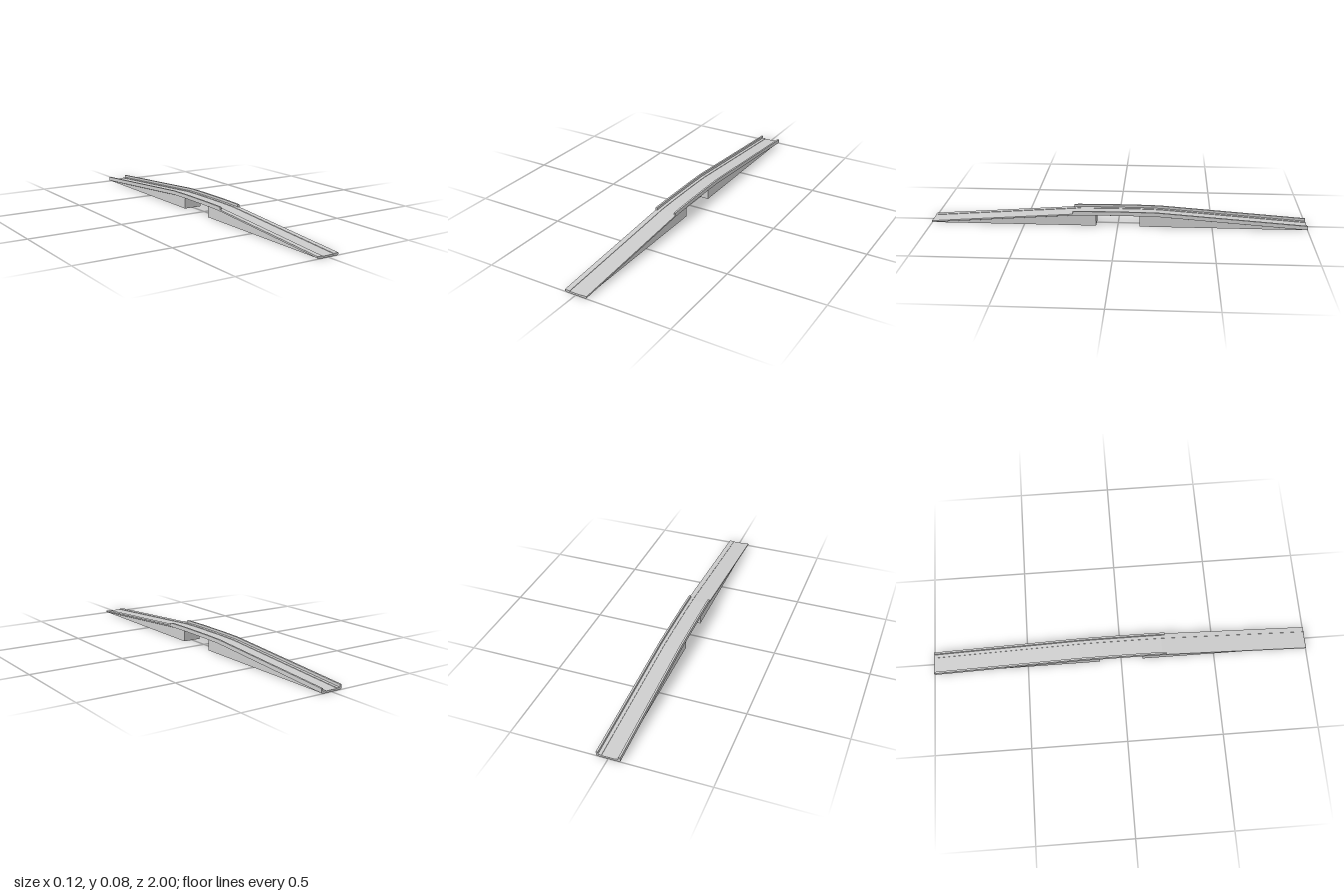
import * as THREE from 'three';

const material = new THREE.MeshStandardMaterial({ color: 0xcccccc, flatShading: true });
const thin = new THREE.MeshStandardMaterial({ color: 0xcccccc, flatShading: true, side: THREE.DoubleSide });

// Height of the deck's underside along the bridge: two ramps and a nearly level crown
const profile = [[0, 0.058], [0.1, 0.058], [0.22, 0.056], [1, 0]];
function baseHeight(z) {
  const d = Math.min(Math.abs(z), 1);
  for (let i = 1; i < profile.length; i++) {
    const [z0, y0] = profile[i - 1], [z1, y1] = profile[i];
    if (d <= z1) return y0 + (y1 - y0) * (d - z0) / (z1 - z0);
  }
  return 0;
}

// Extrude a cross-section through the z stations, lifting it to follow the profile
function sweep(name, section, stations) {
  const shape = new THREE.Shape(section.map(([x, y]) => new THREE.Vector2(x, y)));
  const n = stations.length - 1;
  const geo = new THREE.ExtrudeGeometry(shape, { depth: n, steps: n, bevelEnabled: false });
  const p = geo.attributes.position;
  for (let i = 0; i < p.count; i++) {
    const z = stations[Math.round(p.getZ(i))];
    p.setXYZ(i, p.getX(i), p.getY(i) + baseHeight(z), z);
  }
  geo.computeVertexNormals();
  const mesh = new THREE.Mesh(geo, material);
  mesh.name = name;
  return mesh;
}

// Flat wall from a loop of corners, seen from both sides
function wall(name, corners) {
  const geo = new THREE.BufferGeometry();
  geo.setAttribute('position', new THREE.Float32BufferAttribute(corners.flat(), 3));
  const index = [];
  for (let i = 1; i < corners.length - 1; i++) index.push(0, i, i + 1);
  geo.setIndex(index);
  geo.computeVertexNormals();
  const mesh = new THREE.Mesh(geo, thin);
  mesh.name = name;
  return mesh;
}

export function createModel() {
  const bridge = new THREE.Group();
  bridge.name = 'bridge';

  // Deck: sunken road, raised walkways, chamfered lower edges
  const half = [[0.05, 0], [0.06, 0.004], [0.06, 0.012], [0.033, 0.012], [0.033, 0.0095]];
  const mirrored = half.map(([x, y]) => [-x, y]).reverse();
  bridge.add(sweep('deck', [...half, ...mirrored], [-1, -0.22, -0.1, 0.1, 0.22, 1]));

  // Parapets stop short of the front ramp
  for (const s of [1, -1]) {
    const section = [[0.05, 0.011], [0.06, 0.011], [0.06, 0.025], [0.05, 0.025]].map(([x, y]) => [s * x, y]);
    bridge.add(sweep(s > 0 ? 'leftParapet' : 'rightParapet', section, [-1, -0.22, -0.1, 0.1, 0.22, 0.24]));
  }

  // Hollow abutments, open below: two tapered side walls and an inner end wall
  const w = 0.05, inner = 0.115, top = (z) => baseHeight(z) + 0.001;
  for (const f of [1, -1]) {
    const abutment = new THREE.Group();
    abutment.name = f > 0 ? 'frontAbutment' : 'backAbutment';
    for (const s of [1, -1]) {
      abutment.add(wall('sideWall', [
        [s * w, 0, f * inner], [s * w, 0, f], [s * w, top(0.22), f * 0.22], [s * w, top(inner), f * inner],
      ]));
    }
    abutment.add(wall('endWall', [
      [-w, 0, f * inner], [w, 0, f * inner], [w, top(inner), f * inner], [-w, top(inner), f * inner],
    ]));
    bridge.add(abutment);
  }
  return bridge;
}
